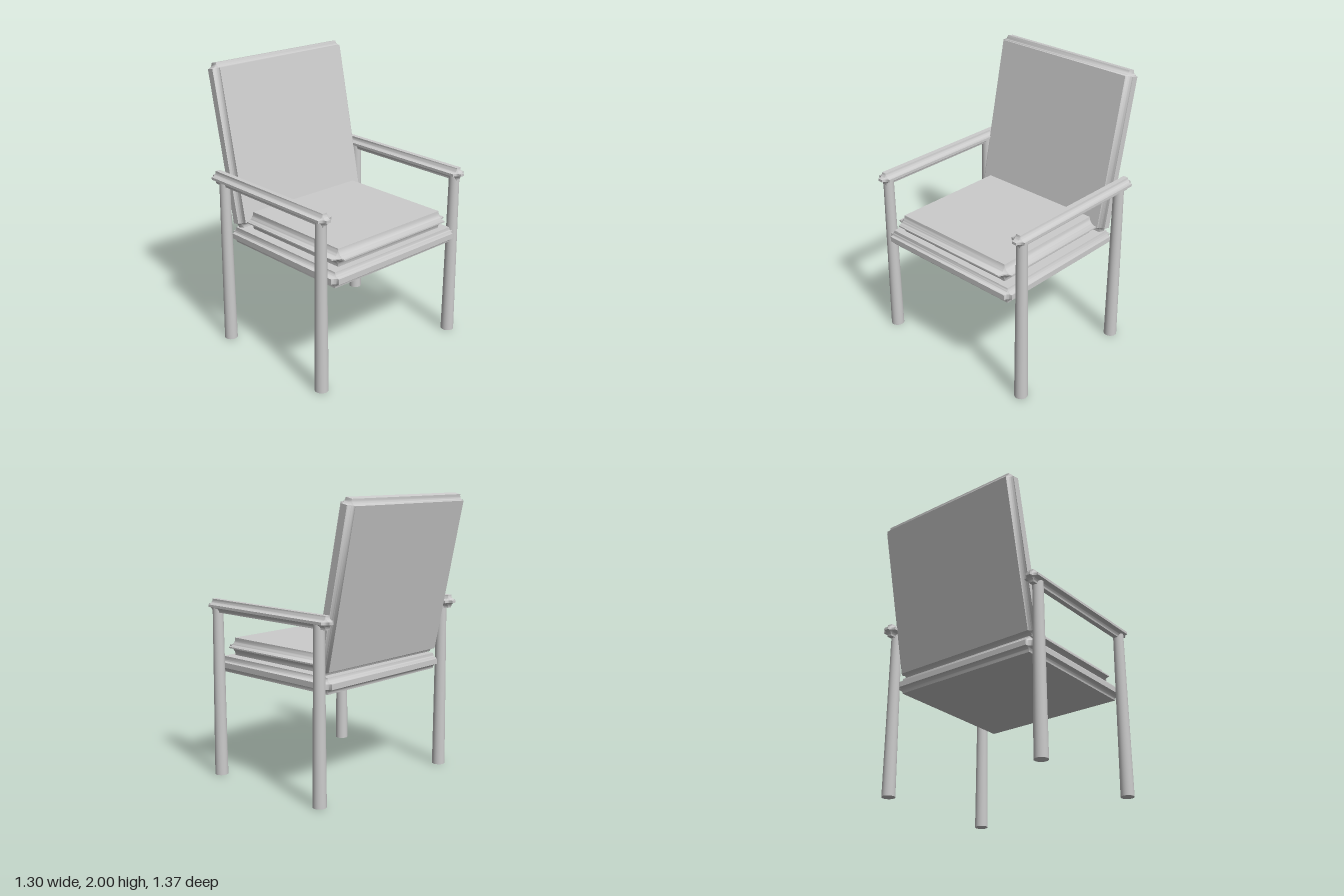
import * as THREE from 'three';
import { RoundedBoxGeometry } from 'three/addons/geometries/RoundedBoxGeometry.js';
import { toCreasedNormals } from 'three/addons/utils/BufferGeometryUtils.js';

const material = new THREE.MeshStandardMaterial({ color: 0xcccccc });

// Box whose edges are scooped inwards by a cove of radius r
function coveBox(w, h, d, r) {
  const geo = new RoundedBoxGeometry(w, h, d, 4, r);
  const pos = geo.attributes.position;
  const nor = geo.attributes.normal;
  // turn the convex offset of each vertex into a concave one
  const cove = (a, b, c) => r * (Math.sign(a) * (1 - Math.hypot(b, c)) - a);
  for (let i = 0; i < pos.count; i++) {
    const x = nor.getX(i), y = nor.getY(i), z = nor.getZ(i);
    pos.setXYZ(i,
      pos.getX(i) + cove(x, y, z),
      pos.getY(i) + cove(y, z, x),
      pos.getZ(i) + cove(z, x, y));
  }
  return toCreasedNormals(geo, 0.7);
}

export function createModel() {
  const chair = new THREE.Group();
  chair.name = 'armchair';

  const add = (name, geo, x, y, z) => {
    const mesh = new THREE.Mesh(geo, material);
    mesh.name = name;
    mesh.position.set(x, y, z);
    chair.add(mesh);
    return mesh;
  };

  // Seat frame and the cushion on it
  add('seatFrame', coveBox(1.10, 0.112, 1.176, 0.037), 0.098, 0.79, 0);
  add('seatCushion', coveBox(0.985, 0.126, 1.08, 0.058), 0.131, 0.911, 0);

  // Backrest, leaning away from the seat
  const back = add('backrest', coveBox(0.126, 1.16, 1.176, 0.037), -0.478, 1.427, 0);
  back.rotation.z = 0.209;

  // Armrests and slightly tapered round legs on both sides
  const armGeo = coveBox(1.17, 0.092, 0.11, 0.037);
  const legGeo = new THREE.CylinderGeometry(0.037, 0.047, 1.22, 24);
  for (const side of [-1, 1]) {
    const label = side > 0 ? 'Front' : 'Rear';
    add('armrest' + label, armGeo, 0.055, 1.223, side * 0.632);
    for (const [name, x] of [['legBack', -0.419], ['legSeatEdge', 0.567]]) {
      add(name + label, legGeo, x, 0.61, side * 0.632);
    }
  }
  return chair;
}
